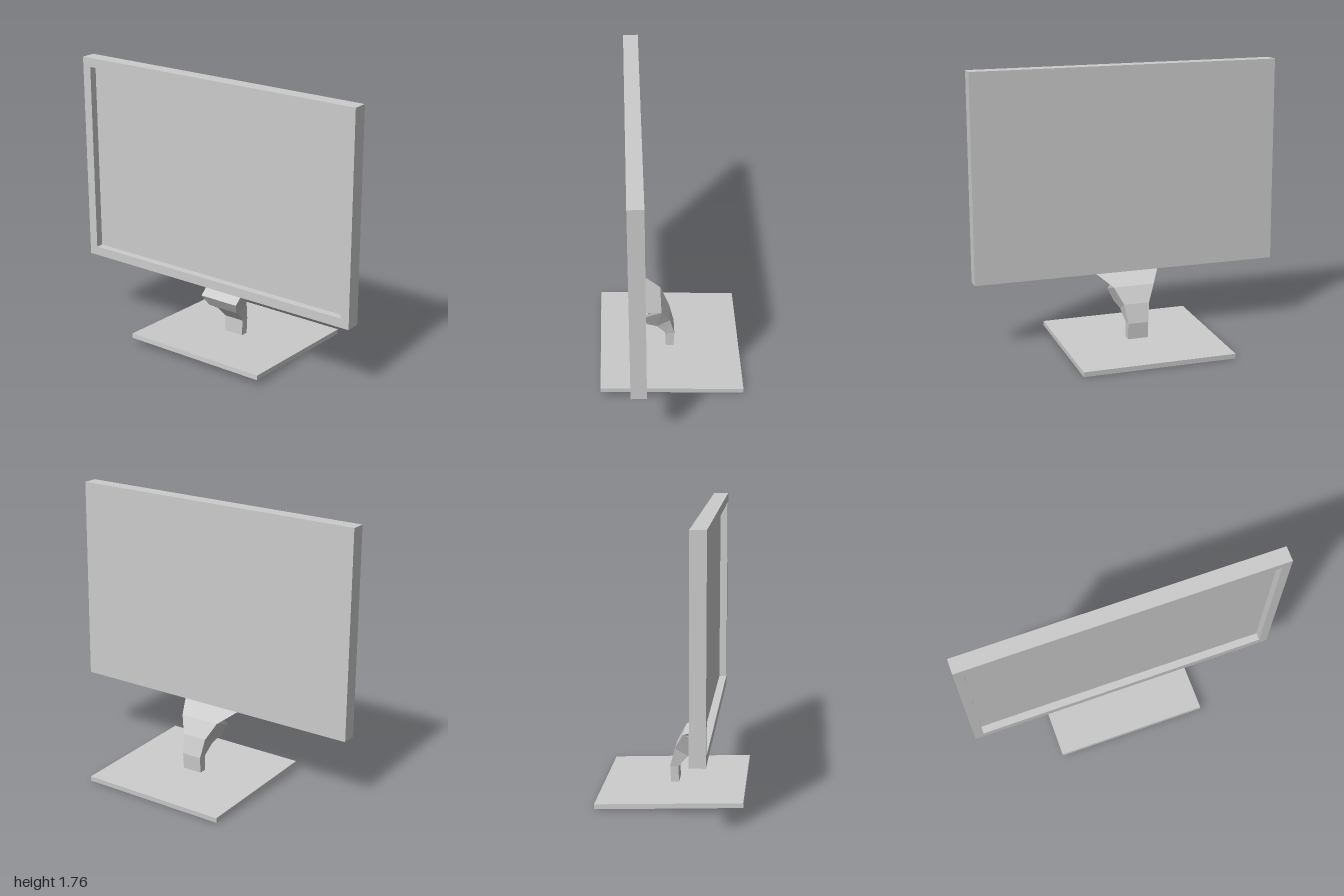
import * as THREE from 'three';

const material = new THREE.MeshStandardMaterial({ color: 0xcccccc, flatShading: true });

function addMesh(parent, name, geometry) {
  const mesh = new THREE.Mesh(geometry, material);
  mesh.name = name;
  parent.add(mesh);
  return mesh;
}

// Solid mirrored across z = 0 from a counter-clockwise side outline of [x, y, half width]
function mirroredSolid(outline) {
  const positions = [];
  const right = outline.map(([x, y, w]) => [x, y, w]);
  const left = outline.map(([x, y, w]) => [x, y, -w]);
  const triangle = (a, b, c) => positions.push(...a, ...b, ...c);
  const contour = outline.map(([x, y]) => new THREE.Vector2(x, y));
  for (const [a, b, c] of THREE.ShapeUtils.triangulateShape(contour, [])) {
    triangle(right[a], right[b], right[c]);
    triangle(left[a], left[c], left[b]);
  }
  outline.forEach((_, i) => {
    const j = (i + 1) % outline.length;
    triangle(right[i], left[i], right[j]);
    triangle(left[i], left[j], right[j]);
  });
  const geometry = new THREE.BufferGeometry();
  geometry.setAttribute('position', new THREE.Float32BufferAttribute(positions, 3));
  geometry.computeVertexNormals();
  return geometry;
}

function rectangle(path, halfWidth, halfHeight) {
  path.moveTo(-halfWidth, -halfHeight);
  path.lineTo(halfWidth, -halfHeight);
  path.lineTo(halfWidth, halfHeight);
  path.lineTo(-halfWidth, halfHeight);
  path.closePath();
  return path;
}

export function createModel() {
  const model = new THREE.Group();
  model.name = 'monitor';

  // Display: rear casing plus a bezel around the recessed screen on the -x side
  const display = new THREE.Group();
  display.name = 'display';
  display.position.set(-0.214, 1.102, 0);
  model.add(display);

  const halfHeight = 0.663;
  const border = 0.058;
  addMesh(display, 'casingAndScreen', new THREE.BoxGeometry(0.047, halfHeight * 2, 2)).position.x = 0.0235;

  const bezelShape = rectangle(new THREE.Shape(), 1, halfHeight);
  bezelShape.holes.push(rectangle(new THREE.Path(), 1 - border, halfHeight - border));
  const bezel = new THREE.ExtrudeGeometry(bezelShape, { depth: 0.048, bevelEnabled: false });
  addMesh(display, 'bezel', bezel.rotateY(-Math.PI / 2));

  // Stand: slightly tilted base, bent neck, flared head and bracket under the display
  const stand = new THREE.Group();
  stand.name = 'stand';
  model.add(stand);

  addMesh(stand, 'base', mirroredSolid([
    [-0.452, 0.038, 0.49], [0.448, 0, 0.49], [0.45, 0.031, 0.49], [-0.45, 0.068, 0.49],
  ]));
  addMesh(stand, 'lowerNeck', mirroredSolid([
    [-0.026, 0.048, 0.066], [0.024, 0.048, 0.066], [0.03, 0.152, 0.067], [-0.022, 0.152, 0.067],
  ]));
  addMesh(stand, 'upperNeck', mirroredSolid([
    [-0.022, 0.152, 0.067], [0.03, 0.152, 0.067], [0, 0.272, 0.083], [-0.085, 0.225, 0.083],
  ]));
  addMesh(stand, 'head', mirroredSolid([
    [-0.085, 0.225, 0.083], [0, 0.272, 0.083], [-0.055, 0.375, 0.134],
    [-0.135, 0.375, 0.135], [-0.185, 0.332, 0.135], [-0.143, 0.26, 0.105],
  ]));
  addMesh(stand, 'bracket', mirroredSolid([
    [-0.135, 0.375, 0.135], [-0.055, 0.375, 0.134], [-0.203, 0.44, 0.215],
  ]));

  return model;
}
